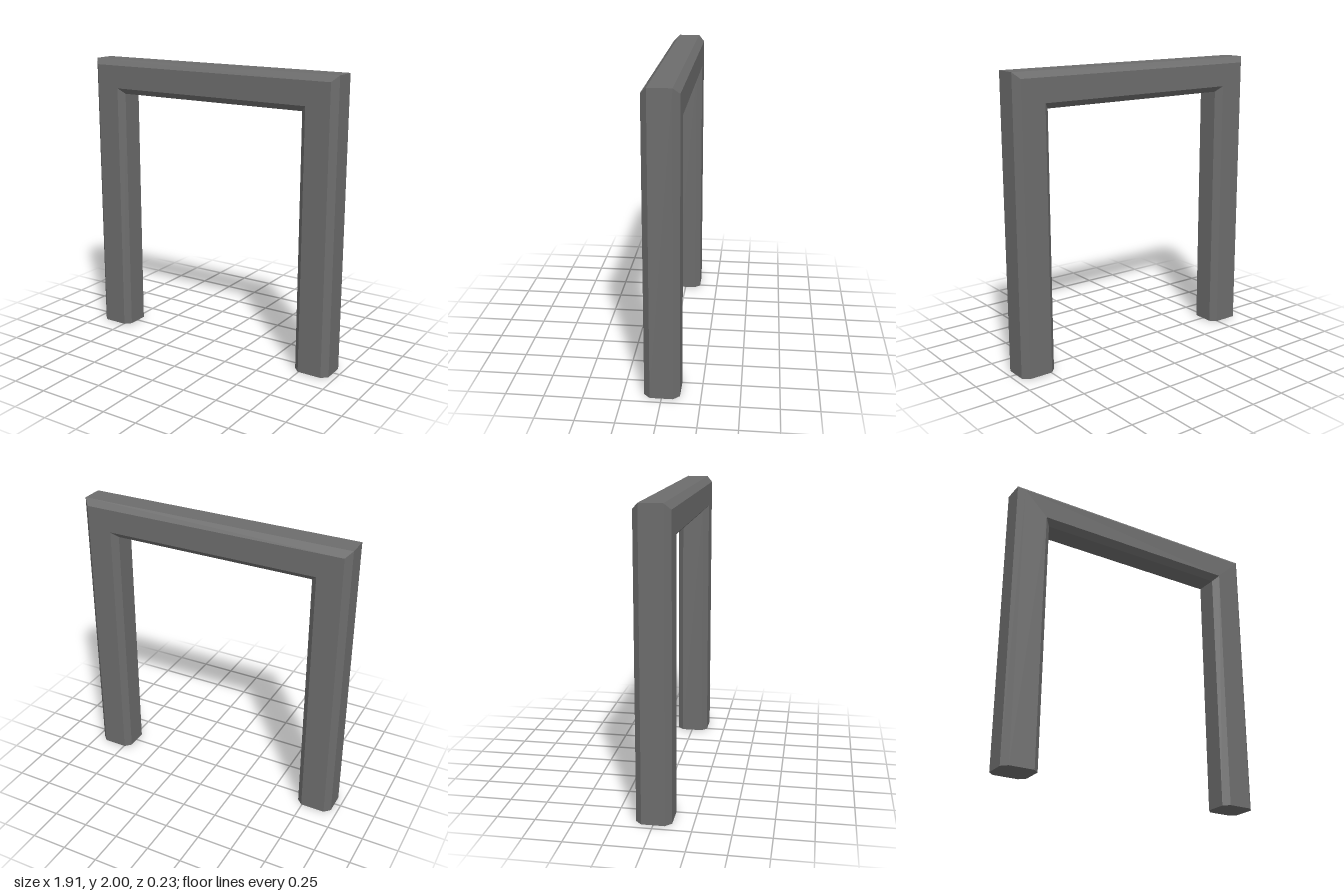
import * as THREE from 'three';

const HALF = 0.955;   // half of the outer width
const TOP = 2;        // outer height
const POST = 0.25;    // post width
const LINTEL = 0.24;  // lintel height
const D = 0.115;      // half depth
const C = 0.04;       // chamfer

// Chamfered section: [inset from the side, inset from the top, z]
const section = [
  [0, 0, C - D], [0, 0, D - C], [C, C, D], [POST - C, LINTEL - C, D],
  [POST, LINTEL, D - C], [POST, LINTEL, C - D], [POST - C, LINTEL - C, -D], [C, C, -D],
];

// Sweeps the section up one post, across the lintel and down the other, with mitred corners
function frameGeometry() {
  const stations = [[-1, 0], [-1, 1], [1, 1], [1, 0]];
  const rings = stations.map(([side, up]) =>
    section.map(([dx, dy, z]) => [side * (HALF - dx), up * (TOP - dy), z]));
  const pos = [];
  const tri = (a, b, c) => pos.push(...a, ...b, ...c);
  const n = section.length;

  // Long faces
  for (let i = 0; i < rings.length - 1; i++) {
    for (let j = 0; j < n; j++) {
      const k = (j + 1) % n;
      tri(rings[i][j], rings[i][k], rings[i + 1][k]);
      tri(rings[i][j], rings[i + 1][k], rings[i + 1][j]);
    }
  }
  // Feet
  const first = rings[0], last = rings[rings.length - 1];
  for (let j = 1; j < n - 1; j++) {
    tri(first[0], first[j + 1], first[j]);
    tri(last[0], last[j], last[j + 1]);
  }

  const geometry = new THREE.BufferGeometry();
  geometry.setAttribute('position', new THREE.Float32BufferAttribute(pos, 3));
  geometry.computeVertexNormals();
  return geometry;
}

export function createModel() {
  const group = new THREE.Group();
  group.name = 'doorFrame';
  const material = new THREE.MeshStandardMaterial({ color: 0x6c6c6c, flatShading: true });
  const frame = new THREE.Mesh(frameGeometry(), material);
  frame.name = 'postsAndLintel';
  group.add(frame);
  return group;
}
